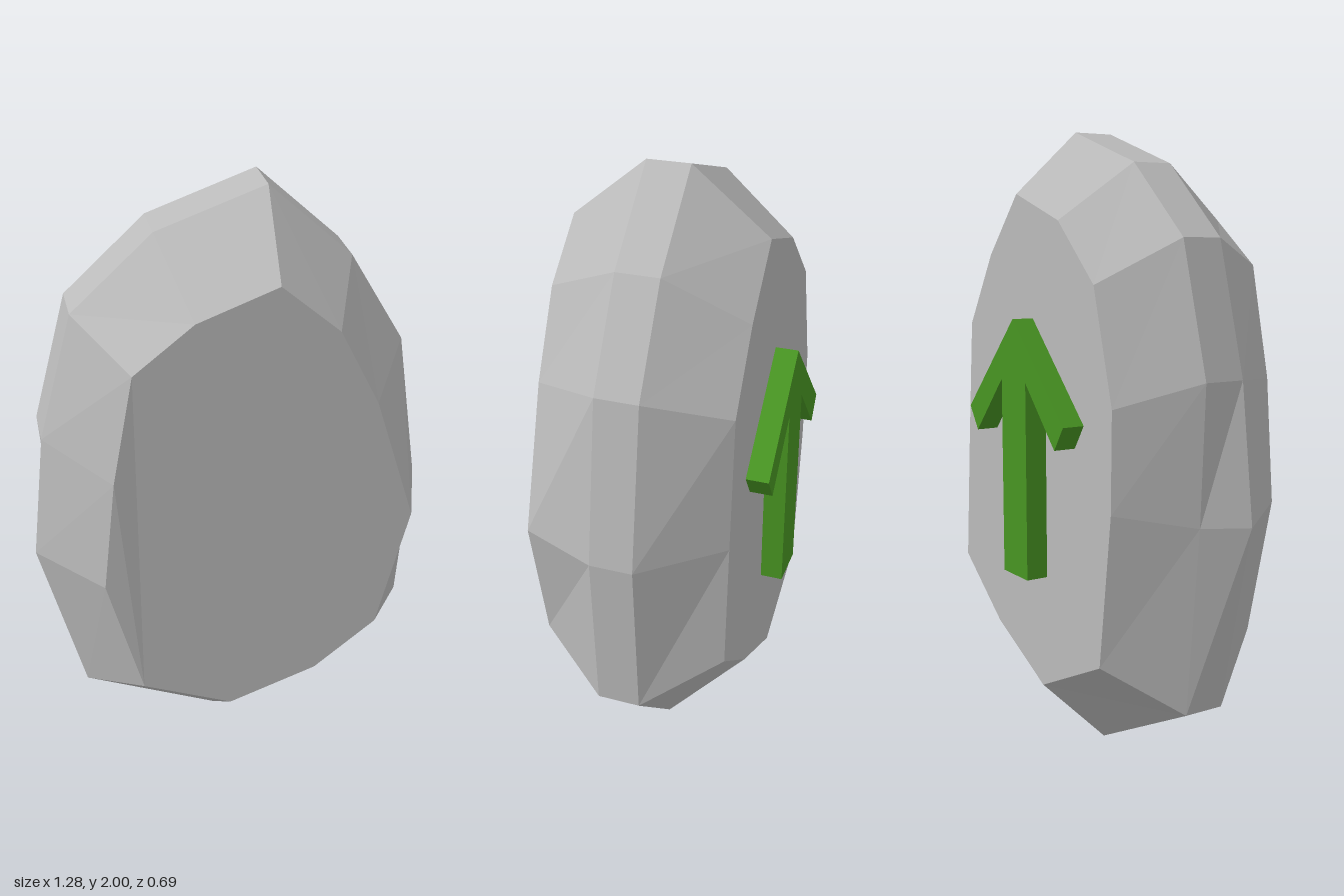
import * as THREE from 'three';

// Outlines of the stone, clockwise from the top as seen from the front
const middle = [
  [0.11, 2], [0.37, 1.76], [0.55, 1.46], [0.637, 0.95], [0.617, 0.425], [0.34, 0.16],
  [-0.055, 0], [-0.51, 0.23], [-0.64, 0.825], [-0.585, 1.255], [-0.47, 1.665], [-0.22, 1.89],
];
const frontFace = [
  [0.085, 1.805], [0.265, 1.645], [0.395, 1.39], [0.54, 0.955], [0.45, 0.515], [0.245, 0.345],
  [-0.05, 0.245], [-0.345, 0.39], [-0.45, 0.84], [-0.405, 1.23], [-0.335, 1.58], [-0.155, 1.72],
];
const backFace = [
  [0.09, 1.8], [0.265, 1.61], [0.41, 1.38], [0.445, 0.96], [0.475, 0.555], [0.24, 0.37],
  [-0.05, 0.23], [-0.385, 0.39], [-0.445, 0.87], [-0.45, 1.18], [-0.355, 1.53], [-0.16, 1.715],
];

function stoneGeometry() {
  const n = middle.length;
  const ring = (outline, z) => outline.map(([x, y]) => [x, y, z]);
  const rings = [ring(frontFace, 0.338), ring(middle, 0.095), ring(middle, -0.04), ring(backFace, -0.273)];
  rings[0][9][2] = 0.346; // slight ridge on the front face
  rings[2][8][0] = -0.565; // chipped left edge
  const index = [];
  // Bands between the outlines
  for (let r = 0; r < 3; r++) {
    for (let i = 0; i < n; i++) {
      const a = r * n + i, b = r * n + (i + 1) % n;
      index.push(a, b, a + n, b, b + n, a + n);
    }
  }
  // Front and back faces as fans from the lower left corner
  const hub = 7, back = 3 * n;
  for (let k = 1; k < n - 1; k++) {
    const a = (hub + k) % n, b = (hub + k + 1) % n;
    index.push(hub, b, a, back + hub, back + a, back + b);
  }
  const indexed = new THREE.BufferGeometry();
  indexed.setAttribute('position', new THREE.Float32BufferAttribute(rings.flat(2), 3));
  indexed.setIndex(index);
  const geometry = indexed.toNonIndexed();
  geometry.computeVertexNormals();
  return geometry;
}

function arrowGeometry() {
  // Right half from the tip down to the foot, then mirrored
  const half = [[0, 1.417], [0.295, 1.115], [0.245, 1.04], [0.075, 1.225], [0.075, 0.6]];
  const mirrored = half.slice(1).reverse().map(([x, y]) => [-x, y]);
  const points = [...half, ...mirrored].map(([x, y]) => new THREE.Vector2(x - 0.005, y));
  const geometry = new THREE.ExtrudeGeometry(new THREE.Shape(points), { depth: 0.075, bevelEnabled: false });
  return geometry.translate(0, 0, -0.345);
}

export function createModel() {
  const group = new THREE.Group();
  group.name = 'markedStone';

  const stone = new THREE.Mesh(
    stoneGeometry(),
    new THREE.MeshStandardMaterial({ color: 0xbababa, flatShading: true }),
  );
  stone.name = 'stone';

  // Raised arrow on the back
  const arrow = new THREE.Mesh(
    arrowGeometry(),
    new THREE.MeshStandardMaterial({ color: 0x489522, flatShading: true }),
  );
  arrow.name = 'arrow';

  group.add(stone, arrow);
  return group;
}
